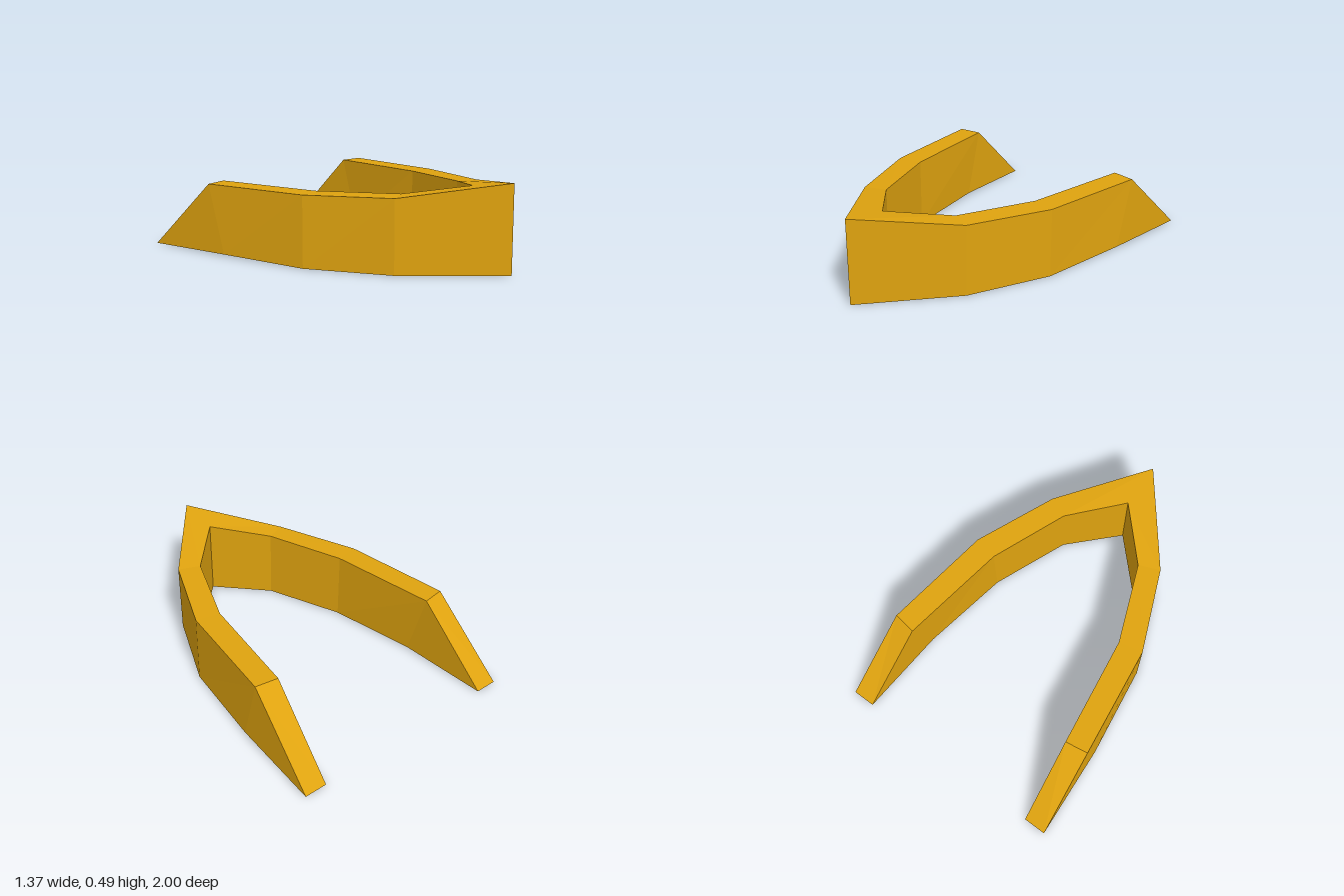
import * as THREE from 'three';

export function createModel() {
  const group = new THREE.Group();
  group.name = 'pointedBand';
  const amber = new THREE.MeshStandardMaterial({ color: 0xdfa30f, flatShading: true });
  amber.name = 'amber';

  // Half of the band, from front point to rear tip.
  // Each section: outer bottom, outer top, inner top, inner bottom.
  const half = [
    [[0, 0, 1], [0, 0.485, 1], [0, 0.446, 0.75], [0, 0, 0.75]],
    [[0.38, 0, 0.53], [0.38, 0.405, 0.53], [0.26, 0.407, 0.48], [0.26, 0, 0.48]],
    [[0.575, 0, 0.07], [0.573, 0.397, 0.07], [0.435, 0.397, 0.04], [0.435, 0, 0.04]],
    [[0.65, 0.008, -0.46], [0.655, 0.397, -0.565], [0.525, 0.397, -0.585], [0.52, 0.008, -0.48]],
    [[0.685, 0, -1], [0.685, 0, -1], [0.555, 0, -1], [0.555, 0, -1]],
  ];
  const mirrored = half.slice(1).reverse().map(s => s.map(([x, y, z]) => [-x, y, z]));
  const sections = [...mirrored, ...half];

  // Skin the sections, skipping the collapsed triangles at the wedge tips
  const positions = [];
  const same = (p, q) => p.every((v, k) => v === q[k]);
  const triangle = (p, q, r) => {
    if (!same(p, q) && !same(q, r) && !same(r, p)) positions.push(...p, ...q, ...r);
  };
  for (let i = 0; i < sections.length - 1; i++) {
    for (let j = 0; j < 4; j++) {
      const k = (j + 1) % 4;
      const a = sections[i][j], b = sections[i][k];
      const d = sections[i + 1][j], c = sections[i + 1][k];
      triangle(a, d, c);
      triangle(a, c, b);
    }
  }
  const geometry = new THREE.BufferGeometry();
  geometry.setAttribute('position', new THREE.Float32BufferAttribute(positions, 3));
  geometry.computeVertexNormals();

  const band = new THREE.Mesh(geometry, amber);
  band.name = 'band';
  group.add(band);
  return group;
}
